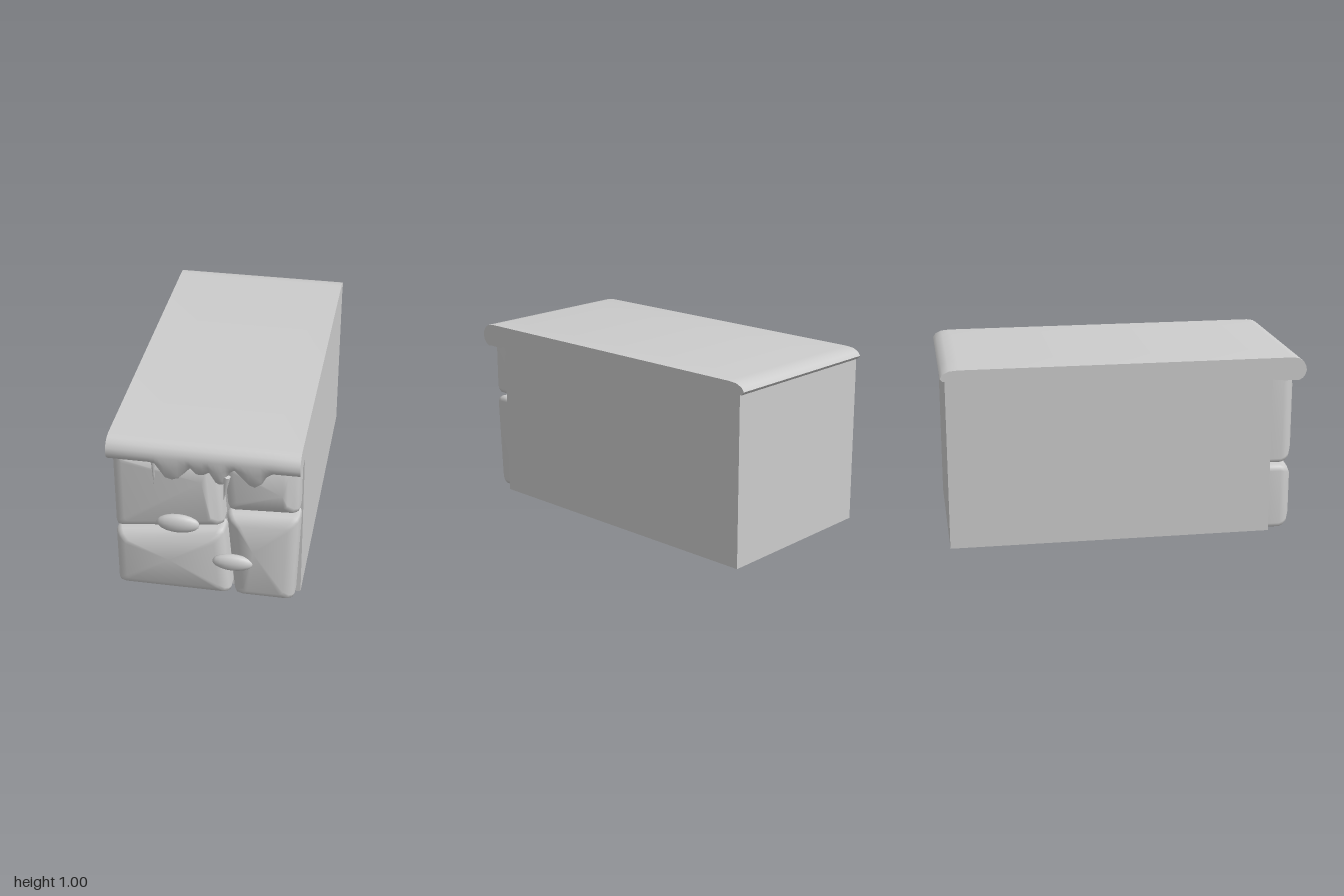
import * as THREE from 'three';
import { toCreasedNormals } from 'three/addons/utils/BufferGeometryUtils.js';

const stoneGrey = new THREE.MeshStandardMaterial({ color: 0xcccccc });
stoneGrey.name = 'stoneGrey';

// Skins equal-length cross-sections; closed rings run counter-clockwise towards the viewer
function loft(rings, peak) {
  const n = rings[0].length, pos = rings.flat(2), index = [];
  for (let r = 0; r < rings.length - 1; r++) {
    for (let i = 0; i < n; i++) {
      const j = (i + 1) % n, a = r * n + i, b = r * n + j;
      index.push(a, b, b + n, a, b + n, a + n);
    }
  }
  if (peak) {
    const top = rings.length * n, last = top - n;
    pos.push(...peak);
    for (let i = 0; i < n; i++) index.push(last + i, last + (i + 1) % n, top);
  }
  const g = new THREE.BufferGeometry();
  g.setAttribute('position', new THREE.Float32BufferAttribute(pos, 3));
  g.setIndex(index);
  g.computeVertexNormals();
  return g;
}

// Four-sided outline moved inwards by d, its corners rounded by r, at depth z
function outline(corners, d, r, z) {
  const pts = corners.map(c => new THREE.Vector2(...c));
  return pts.flatMap((c, i) => {
    const u = pts[(i + 1) % 4].clone().sub(c).normalize();
    const v = pts[(i + 3) % 4].clone().sub(c).normalize();
    const at = (a, b) => [c.x + u.x * a + v.x * b, c.y + u.y * a + v.y * b, z];
    return [at(d, d + r), at(d + 0.27 * r, d + 0.27 * r), at(d + r, d)];
  });
}

// Lower edge of the hanging drips: x, y
const drips = [
  [-0.5, 0.87], [-0.28, 0.87], [-0.25, 0.86], [-0.23, 0.82], [-0.2, 0.775], [-0.165, 0.763],
  [-0.13, 0.773], [-0.09, 0.83], [-0.068, 0.853], [-0.035, 0.815], [0, 0.818], [0.03, 0.837],
  [0.06, 0.78], [0.08, 0.767], [0.1, 0.77], [0.118, 0.81], [0.14, 0.852], [0.165, 0.867],
  [0.2, 0.82], [0.235, 0.782], [0.265, 0.77], [0.3, 0.795], [0.325, 0.843], [0.36, 0.868], [0.5, 0.87],
];

// Cap cross-section at x, with its front lip pulled down to y = low
function capSection(x, low) {
  const drop = 0.87 - low;
  return [
    [-0.96, 0.94], [-0.985, 0.94], [-1, 0.958], [-0.985, 0.98], [-0.95, 0.996], [-0.9, 1],
    [0.92, 1], [0.955, 0.994], [0.98, 0.978], [0.995, 0.952], [1, 0.925],
    [0.992, 0.9 - drop * 0.35], [0.978, 0.882 - drop * 0.75], [0.955, low],
    [0.93, low + 0.002 + drop * 0.25], [0.88, 0.872], [0.8, 0.88],
  ].map(([z, y]) => [x, y, z]);
}

export function createModel() {
  const group = new THREE.Group();
  const add = (name, geometry) => {
    const mesh = new THREE.Mesh(geometry, stoneGrey);
    mesh.name = name;
    group.add(mesh);
    return mesh;
  };

  // Plain block behind the stone face
  add('blockBody', new THREE.BoxGeometry(1, 0.98, 1.785)).position.set(0, 0.49, -0.0825);

  // Cap layer with drips
  const sections = drips.map(([x, y]) => capSection(x, y));
  add('dripCap', toCreasedNormals(loft(sections), 0.9));

  // End faces of the cap, flush with the block sides
  for (const side of [-1, 1]) {
    const shape = new THREE.Shape(capSection(0, 0.87).map(([, y, z]) => new THREE.Vector2(-side * z, y)));
    const end = add(side > 0 ? 'capEndLeft' : 'capEndRight', new THREE.ShapeGeometry(shape));
    end.rotation.y = side * Math.PI / 2;
    end.position.x = side * 0.5;
  }

  // Bevelled stones: corners counter-clockwise from lower right of the model, then the peak
  const stones = [
    ['upperRightStone', [[-0.495, 0.39], [0.097, 0.465], [0.062, 0.91], [-0.495, 0.91]], [-0.01, 0.78, 0.975]],
    ['lowerRightStone', [[-0.497, 0.008], [0.132, 0.01], [0.098, 0.452], [-0.497, 0.378]], [-0.19, 0.26, 0.982]],
    ['upperLeftStone', [[0.115, 0.57], [0.492, 0.588], [0.492, 0.91], [0.085, 0.91]], [0.41, 0.74, 0.97]],
    ['lowerLeftStone', [[0.15, 0.01], [0.475, 0.01], [0.496, 0.572], [0.105, 0.555]], [0.26, 0.36, 0.975]],
  ];
  for (const [name, corners, peak] of stones) {
    const rings = [[0, 0.03, 0.8], [0, 0.03, 0.875], [0.008, 0.03, 0.9], [0.025, 0.025, 0.922], [0.06, 0.02, 0.94]]
      .map(([d, r, z]) => outline(corners, d, r, z));
    add(name, loft(rings, peak));
  }

  // Pebbles set on the joints
  for (const [name, x, y, rx, ry] of [
    ['upperPebble', -0.14, 0.497, 0.115, 0.055], ['lowerPebble', 0.15, 0.275, 0.109, 0.049],
  ]) {
    const g = new THREE.SphereGeometry(1, 14, 10);
    g.rotateZ(Math.PI / 2);
    g.scale(rx, ry, 0.035);
    add(name, g).position.set(x, y, 0.962);
  }

  // Thin icicles
  for (const [name, x, y, r, h, tilt] of [
    ['rightIcicle', -0.259, 0.82, 0.013, 0.17, 0], ['leftIcicle', 0.115, 0.755, 0.019, 0.155, -0.13],
  ]) {
    const g = new THREE.ConeGeometry(r, h, 6);
    g.rotateX(Math.PI);
    const icicle = add(name, g);
    icicle.position.set(x, y, 0.97);
    icicle.rotation.z = tilt;
  }
  return group;
}
